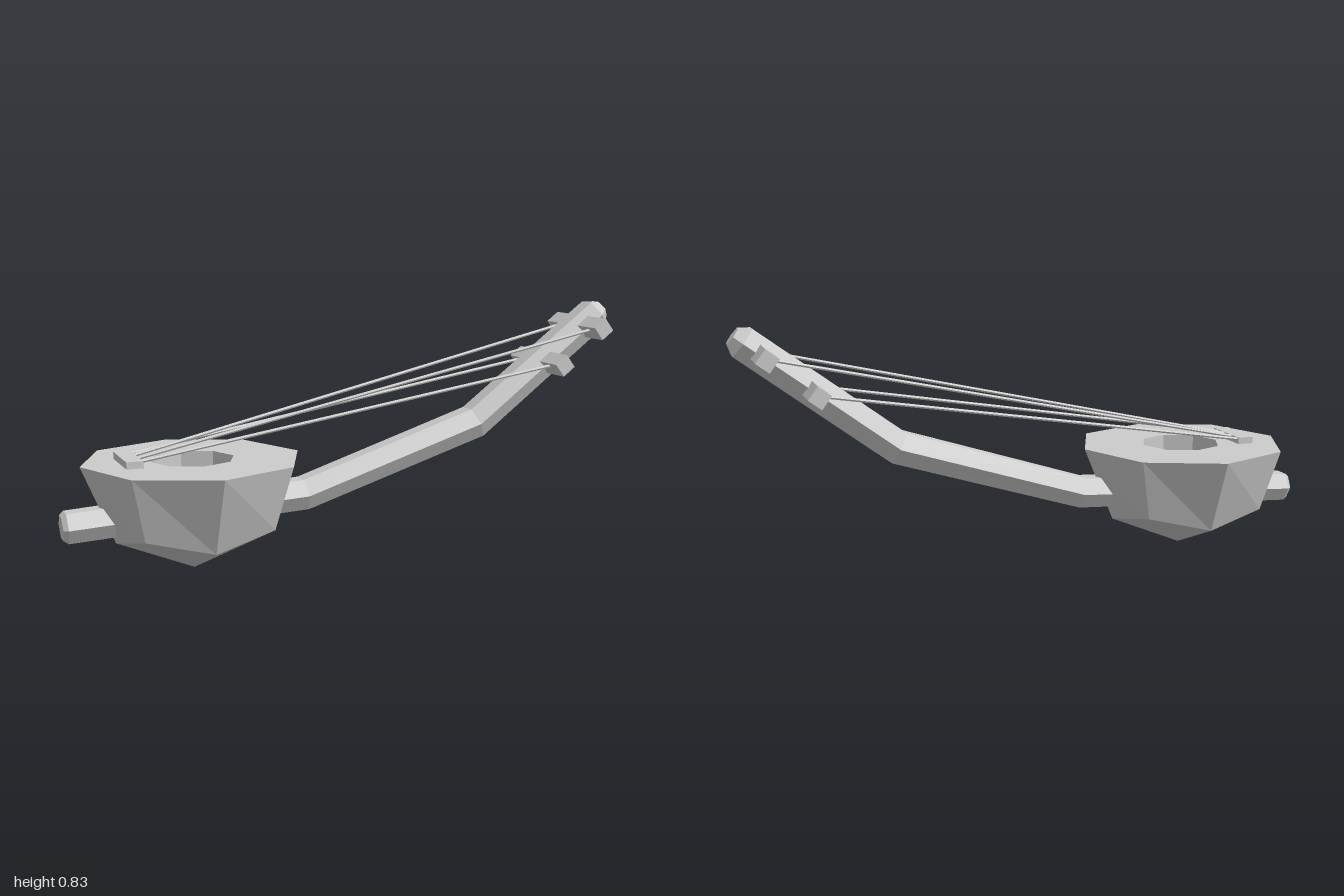
import * as THREE from 'three';

const material = new THREE.MeshStandardMaterial({ color: 0xcccccc, flatShading: true });
const openMaterial = material.clone();
openMaterial.side = THREE.DoubleSide;

// Skin a list of rings, each an array of the same number of points.
function loft(rings) {
  const points = [];
  for (let r = 0; r < rings.length - 1; r++) {
    const n = rings[r].length;
    for (let i = 0; i < n; i++) {
      const j = (i + 1) % n;
      const a = rings[r][i], b = rings[r][j], c = rings[r + 1][j], d = rings[r + 1][i];
      points.push(a, d, c, a, c, b);
    }
  }
  const geometry = new THREE.BufferGeometry().setFromPoints(points);
  geometry.computeVertexNormals();
  return geometry;
}

function add(parent, name, geometry, x = 0, y = 0, z = 0, mat = material) {
  const mesh = new THREE.Mesh(geometry, mat);
  mesh.name = name;
  mesh.position.set(x, y, z);
  parent.add(mesh);
  return mesh;
}

// Octagonal bowl ring: corners on the diagonals may differ from those on the axes.
function bowlRing(rAxis, yAxis, rDiagonal = rAxis, yDiagonal = yAxis) {
  return Array.from({ length: 8 }, (_, i) => {
    const t = i * Math.PI / 4, r = i % 2 ? rDiagonal : rAxis;
    return new THREE.Vector3(r * Math.sin(t), i % 2 ? yDiagonal : yAxis, r * Math.cos(t));
  });
}

// Hexagonal neck section at (x, y), tilted by the slope angle.
function neckRing([x, y, slope, r]) {
  return Array.from({ length: 6 }, (_, i) => {
    const t = i * Math.PI / 3, h = r * Math.sin(t);
    return new THREE.Vector3(x - h * Math.sin(slope), y + h * Math.cos(slope), r * Math.cos(t));
  });
}

export function createModel() {
  const model = new THREE.Group();
  model.name = 'lute';

  // Faceted bowl body with a recessed sound hole
  const body = new THREE.Group();
  body.name = 'body';
  body.position.x = -0.57;
  model.add(body);
  const rimY = 0.368, holeR = 0.14, holeDepth = 0.08;
  add(body, 'bowl', loft([
    bowlRing(0.365, rimY),
    bowlRing(0.258, 0.11, 0.298, 0.157),
    bowlRing(0, 0.003),
  ]));
  add(body, 'soundboard', new THREE.RingGeometry(holeR, 0.365, 8).rotateX(-Math.PI / 2), 0, rimY, 0);
  add(body, 'soundHoleWall', new THREE.CylinderGeometry(holeR, holeR, holeDepth, 8, 1, true),
    0, rimY - holeDepth / 2, 0, openMaterial);
  add(body, 'soundHoleFloor', new THREE.CircleGeometry(holeR, 8).rotateX(-Math.PI / 2), 0, rimY - holeDepth, 0);

  // Bent neck running through the body, bevelled at both ends: x, y, slope, radius
  const sections = [
    [-1.0, 0.177, 0.05, 0],
    [-1.0, 0.177, 0.05, 0.043],
    [-0.985, 0.178, 0.05, 0.056],
    [-0.185, 0.22, 0.18, 0.06],
    [0.46, 0.424, 0.48, 0.063],
    [0.948, 0.791, 0.65, 0.061],
    [0.976, 0.811, 0.65, 0.034],
    [0.976, 0.811, 0.65, 0],
  ];
  add(model, 'neck', loft(sections.map(neckRing)));

  // Bridge on the soundboard
  add(model, 'bridge', new THREE.BoxGeometry(0.055, 0.024, 0.19), -0.78, 0.379, 0);

  // Tuning pegs through the head
  const pegs = [[0.735, 0.627], [0.89, 0.749]];
  for (const [x, y] of pegs) {
    add(model, 'tuningPeg', new THREE.BoxGeometry(0.054, 0.054, 0.32), x, y, 0).rotation.z = 0.65;
  }

  // Strings: z at the bridge, z at the peg, peg index
  for (const [z0, z1, peg] of [[-0.08, -0.115, 0], [-0.035, -0.105, 1], [0.015, 0.11, 1], [0.063, 0.105, 0]]) {
    const from = new THREE.Vector3(-0.78, 0.38, z0);
    const to = new THREE.Vector3(pegs[peg][0], pegs[peg][1], z1);
    const path = new THREE.LineCurve3(from, to);
    add(model, 'string', new THREE.TubeGeometry(path, 1, 0.006, 6));
  }
  return model;
}
